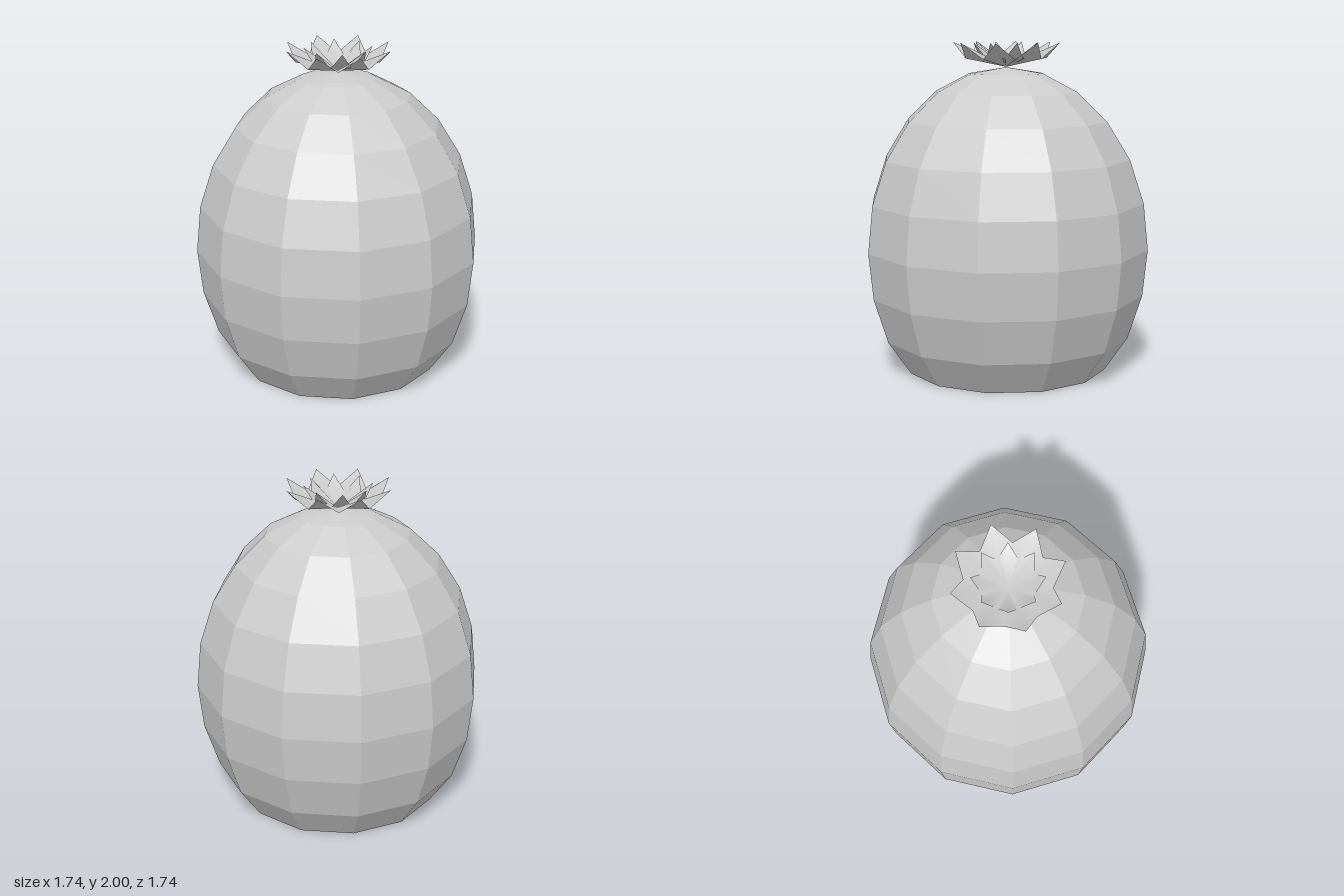
import * as THREE from 'three';

// Shallow star-shaped cup: a fan from a low centre to alternating tips and notches
function starCup(points, tipR, notchR, tipH, notchH) {
  const pos = [0, 0, 0];
  const index = [];
  const n = points * 2;
  for (let i = 0; i < n; i++) {
    const a = (i / n) * Math.PI * 2;
    const r = i % 2 ? notchR : tipR;
    pos.push(r * Math.sin(a), i % 2 ? notchH : tipH, r * Math.cos(a));
    index.push(0, i + 1, ((i + 1) % n) + 1);
  }
  const geo = new THREE.BufferGeometry();
  geo.setAttribute('position', new THREE.Float32BufferAttribute(pos, 3));
  geo.setIndex(index);
  geo.computeVertexNormals();
  return geo;
}

export function createModel() {
  const group = new THREE.Group();

  // Faceted round body, open underneath
  const profile = [
    [0.615, 0], [0.755, 0.205], [0.841, 0.475], [0.87, 0.758], [0.841, 1.04],
    [0.755, 1.303], [0.615, 1.53], [0.435, 1.705], [0.225, 1.814], [0, 1.851],
  ].map(([r, y]) => new THREE.Vector2(r, y));
  const body = new THREE.Mesh(
    new THREE.LatheGeometry(profile, 12),
    new THREE.MeshStandardMaterial({ color: 0xcccccc, flatShading: true, side: THREE.DoubleSide })
  );
  body.name = 'body';
  group.add(body);

  // Two nested eight-pointed flower cups on top
  const petalMaterial = new THREE.MeshStandardMaterial({ color: 0xcccccc, side: THREE.DoubleSide });
  const flower = new THREE.Group();
  flower.name = 'flower';
  flower.position.y = 1.853;
  const petals = starCup(8, 0.327, 0.249, 0.147, 0.052);
  [['outerPetals', 1, 0], ['innerPetals', 0.63, 0.5]].forEach(([name, scale, turn]) => {
    const cup = new THREE.Mesh(petals, petalMaterial);
    cup.name = name;
    cup.scale.set(scale, 1, scale);
    cup.rotation.y = turn;
    flower.add(cup);
  });
  group.add(flower);

  return group;
}
